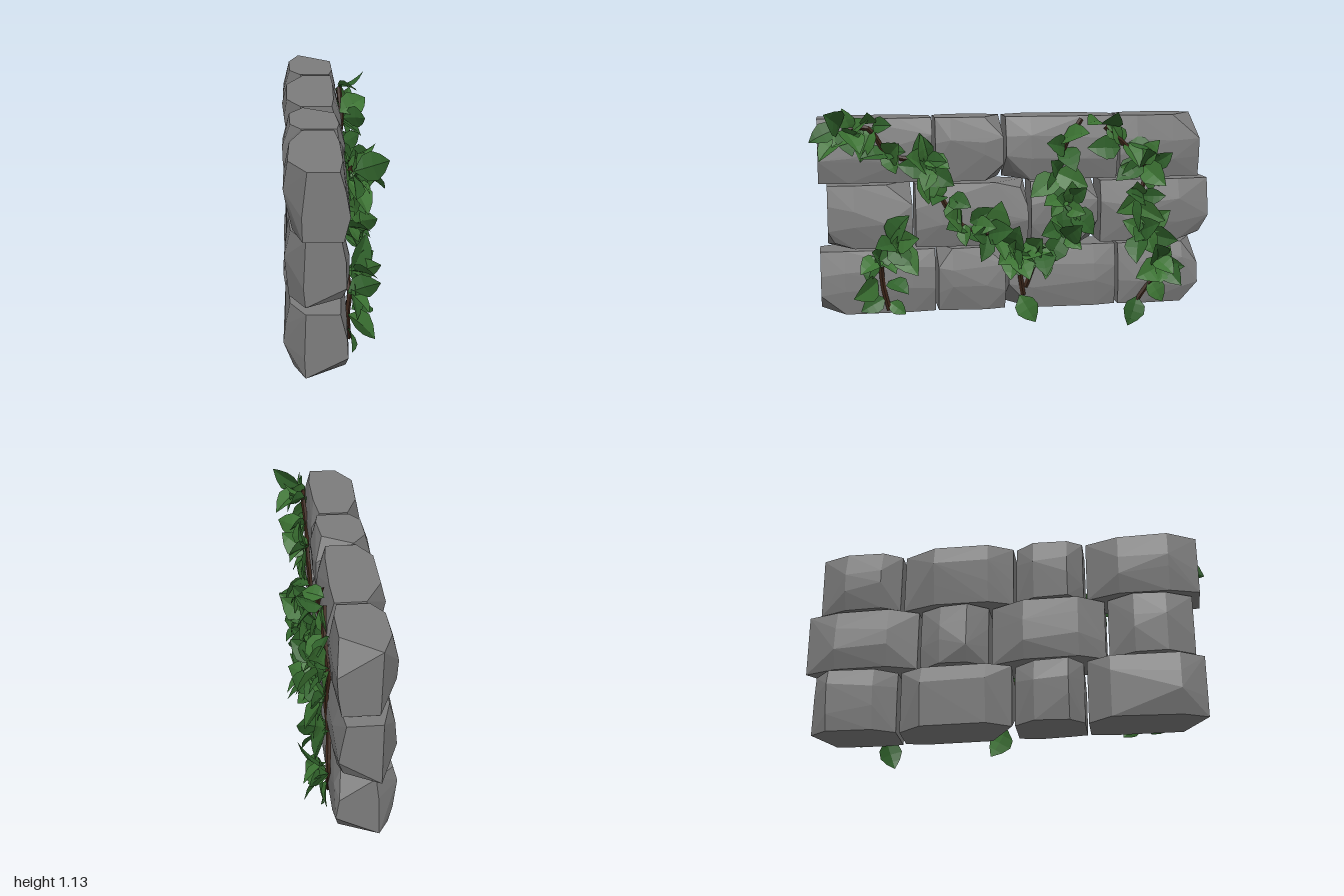
import * as THREE from 'three';
import { mergeGeometries } from 'three/addons/utils/BufferGeometryUtils.js';
import { ConvexGeometry } from 'three/addons/geometries/ConvexGeometry.js';

// Small seeded random generator
let seed = 7;
function rand(a = 0, b = 1) {
  seed = (seed * 16807) % 2147483647;
  return a + (b - a) * (seed / 2147483647);
}

const V = (x, y, z) => new THREE.Vector3(x, y, z);
const lerp = THREE.MathUtils.lerp;

// Depth of the stone's front face: chamfered top, fuller middle, nearly square ends
function frontX(endZ, j) {
  const x = [0.045, 0.062, 0.058, 0.028][j] + rand(-0.014, 0.006);
  return endZ ? x - 0.01 : x;
}

// Depth of the stone's back face: wide bevels towards both ends
function backX(endZ, endY) {
  if (endZ) return -0.138 + rand(-0.012, 0.012);
  return endY ? -0.2 + rand(-0.012, 0.012) : -0.218 + rand(-0.018, 0.012);
}

// Rough-hewn block: hull of a 4 x 4 grid of jittered points on its front and back
function stoneGeometry(z0, z1, y0, y1) {
  const points = [];
  const stations = [0, rand(0.2, 0.34), rand(0.66, 0.8), 1];
  for (let i = 0; i < 4; i++) {
    for (let j = 0; j < 4; j++) {
      const endZ = i % 3 === 0, endY = j % 3 === 0;
      const fy = [0, rand(0.25, 0.42), rand(0.58, 0.75), 1][j];
      const y = lerp(y0, y1, fy), z = lerp(z0, z1, stations[i]);
      points.push(V(backX(endZ, endY), y, z));
      // Now and then a front corner is knocked off
      const chip = endZ && endY && rand() < 0.3 ? rand(0.03, 0.06) : 0;
      points.push(V(frontX(endZ, j) - chip * 0.3, y + (j === 0 ? chip : -chip), z + (i === 0 ? chip : -chip)));
    }
  }
  return new ConvexGeometry(points);
}

// Pointed leaf of unit length along +y, folded on its midrib, facing +z
function leafGeometry() {
  const pos = [], index = [], steps = 4;
  for (let i = 0; i <= steps; i++) {
    const t = i / steps;
    const w = 0.36 * Math.sin(Math.PI * t ** 0.8) + 0.005;
    const z = 0.25 * t * (0.8 - t);
    pos.push(-w, t, z + w * 0.3, 0, t, z, w, t, z + w * 0.3);
    for (let k = 0; i > 0 && k < 2; k++) {
      const a = (i - 1) * 3 + k, b = i * 3 + k;
      index.push(a, a + 1, b + 1, a, b + 1, b);
    }
  }
  const g = new THREE.BufferGeometry();
  g.setAttribute('position', new THREE.Float32BufferAttribute(pos, 3));
  g.setIndex(index);
  g.computeVertexNormals();
  return g;
}

// Places a leaf at its base, pointing along dir, with its face turned away from the wall
function placeLeaf(leaf, base, dir, length, roll) {
  const y = dir.clone().normalize();
  const n = V(1, 0.35, 0);
  n.addScaledVector(y, -n.dot(y)).normalize().applyAxisAngle(y, roll);
  const m = new THREE.Matrix4().makeBasis(y.clone().cross(n), y, n);
  m.scale(V(length, length, length)).setPosition(base);
  return leaf.clone().applyMatrix4(m);
}

// Ring of leaves fanning out around a point of the stem
function leafWhorl(leaf, z, y, count) {
  return Array.from({ length: count }, (_, i) => {
    const angle = (i / count) * Math.PI * 2 + rand(-0.5, 0.5);
    const dir = V(rand(0.05, 1.5), Math.sin(angle) * 0.9 - 0.15, Math.cos(angle)).normalize();
    const length = rand(0.11, 0.19);
    if (y + dir.y * length > 1.1) dir.y *= -0.5;
    if (z + dir.z * length > 0.96) dir.z *= -0.6;
    const base = V(rand(0.05, 0.08), y + rand(-0.03, 0.03), z + rand(-0.03, 0.03));
    return placeLeaf(leaf, base, dir, length, rand(-0.7, 0.7));
  });
}

// Stone courses from the bottom: [front end, joints..., back end] along z
const courses = [
  [0.96, 0.39, 0.04, -0.525, -0.95],
  [0.92, 0.5, -0.075, -0.43, -1.0],
  [0.96, 0.4, 0.05, -0.525, -0.945],
];

// Vine stems as points [z, y, leaves in the whorl there]
const stems = [
  [[0.83, 1.02, 7], [0.72, 1.03, 4], [0.62, 0.9, 4], [0.43, 0.85, 10], [0.36, 0.67, 4],
    [0.25, 0.53, 6], [0.12, 0.49, 5], [0.01, 0.4, 9], [-0.04, 0.18, 0]],
  [[-0.33, 1.06, 0], [-0.25, 0.94, 3], [-0.22, 0.8, 4], [-0.25, 0.64, 9], [-0.24, 0.5, 5], [-0.12, 0.39, 6], [-0.05, 0.22, 0]],
  [[-0.45, 1.02, 3], [-0.55, 0.93, 4], [-0.66, 0.81, 9], [-0.63, 0.65, 7], [-0.65, 0.49, 7], [-0.74, 0.33, 7], [-0.63, 0.13, 0]],
  [[0.61, 0.45, 7], [0.66, 0.38, 4], [0.66, 0.26, 2], [0.63, 0.13, 0]],
];

// Single large leaves at the vine ends: [base z, base y, tip z, tip y]
const endLeaves = [
  [-0.02, 0.18, -0.1, 0.04], [0.86, 1.03, 1.0, 0.97], [0.8, 1.02, 0.84, 1.125],
  [-0.63, 0.15, -0.58, 0.0], [-0.69, 0.24, -0.76, 0.12], [0.65, 0.19, 0.77, 0.13], [0.63, 0.17, 0.55, 0.11],
];

export function createModel() {
  const root = new THREE.Group();
  root.name = 'ivyWall';
  const stoneMat = new THREE.MeshStandardMaterial({ color: 0x7c7c7c, flatShading: true });
  const stemMat = new THREE.MeshStandardMaterial({ color: 0x3a2418, flatShading: true });
  const leafMats = [0x3b7232, 0x30622b].map((color) =>
    new THREE.MeshStandardMaterial({ color, flatShading: true, side: THREE.DoubleSide }));

  // Stones, with a narrow gap at each joint
  const wall = new THREE.Group();
  wall.name = 'stoneWall';
  courses.forEach((joints, row) => {
    const y0 = 0.11 + row * 0.325;
    for (let i = 0; i < joints.length - 1; i++) {
      const z1 = joints[i] - (i > 0 ? 0.008 : 0);
      const z0 = joints[i + 1] + (i < joints.length - 2 ? 0.008 : 0);
      const stone = new THREE.Mesh(stoneGeometry(z0, z1, y0, y0 + 0.312), stoneMat);
      stone.name = 'stone';
      wall.add(stone);
    }
  });
  root.add(wall);

  // Vine stems and their leaves on the +x face
  const leaf = leafGeometry();
  const leaves = [];
  for (const stem of stems) {
    const curve = new THREE.CatmullRomCurve3(stem.map(([z, y], i) => V(i % 2 ? 0.066 : 0.056, y, z)));
    const tube = new THREE.Mesh(new THREE.TubeGeometry(curve, stem.length * 4, 0.013, 5), stemMat);
    tube.name = 'vineStem';
    root.add(tube);
    for (const [z, y, count] of stem) leaves.push(...leafWhorl(leaf, z, y, count));
  }
  for (const [z, y, tipZ, tipY] of endLeaves) {
    const dir = V(0.02, tipY - y, tipZ - z);
    leaves.push(placeLeaf(leaf, V(0.06, y, z), dir, dir.length(), rand(-0.3, 0.3)));
  }

  // Leaves alternate between two greens
  leafMats.forEach((material, k) => {
    const mesh = new THREE.Mesh(mergeGeometries(leaves.filter((_, i) => i % 2 === k)), material);
    mesh.name = k ? 'darkLeaves' : 'lightLeaves';
    root.add(mesh);
  });
  return root;
}
